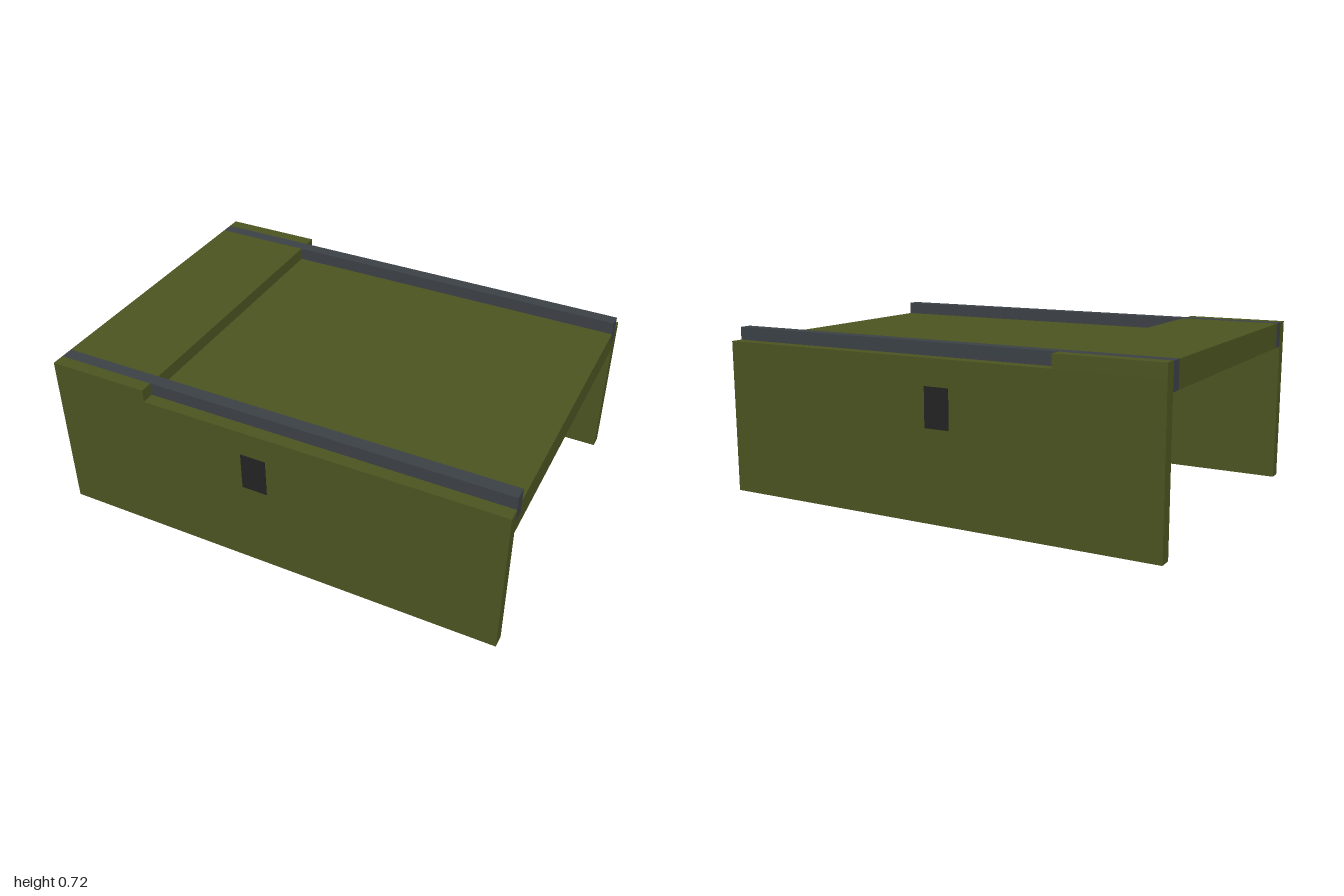
import * as THREE from 'three';

const U = 1 / 18; // every size is a multiple of this unit

export function createModel() {
  const model = new THREE.Group();
  model.name = 'railedCover';

  const make = (name, color) => {
    const m = new THREE.MeshStandardMaterial({ color });
    m.name = name;
    return m;
  };
  const olive = make('olive', 0x4b5320);
  const steel = make('steelGrey', 0x3b4045);
  const black = make('nearBlack', 0x222222);

  // Box given by its limits, in units
  const box = (name, material, x0, x1, y0, y1, z0, z1) => {
    const geometry = new THREE.BoxGeometry((x1 - x0) * U, (y1 - y0) * U, (z1 - z0) * U);
    const mesh = new THREE.Mesh(geometry, material);
    mesh.position.set((x0 + x1) / 2 * U, (y0 + y1) / 2 * U, (z0 + z1) / 2 * U);
    mesh.name = name;
    model.add(mesh);
  };

  // Deck between the rails, its raised end, and the beam under the other end
  box('deck', olive, -18, 18, 11, 12, -11, 11);
  box('raisedDeckEnd', olive, -18, -10, 12, 13, -11, 11);
  box('endBeam', olive, 15, 18, 10, 11, -12, 12);

  // Mirrored side parts
  for (const [side, s] of [['front', 1], ['back', -1]]) {
    const part = (name, material, x0, x1, y0, y1, a, b) =>
      box(side + name, material, x0, x1, y0, y1, Math.min(s * a, s * b), Math.max(s * a, s * b));
    part('Panel', olive, -18, 18, 0, 12, 12, 13);
    part('PanelRaisedEnd', olive, -18, -10, 12, 13, 12, 13);
    part('Rail', steel, -18, 18, 11, 13, 11, 12);
    // Slot marking, seen on both faces of the panel
    part('Slot', black, -2, 0, 7, 10, 11.95, 13.05);
  }
  return model;
}
